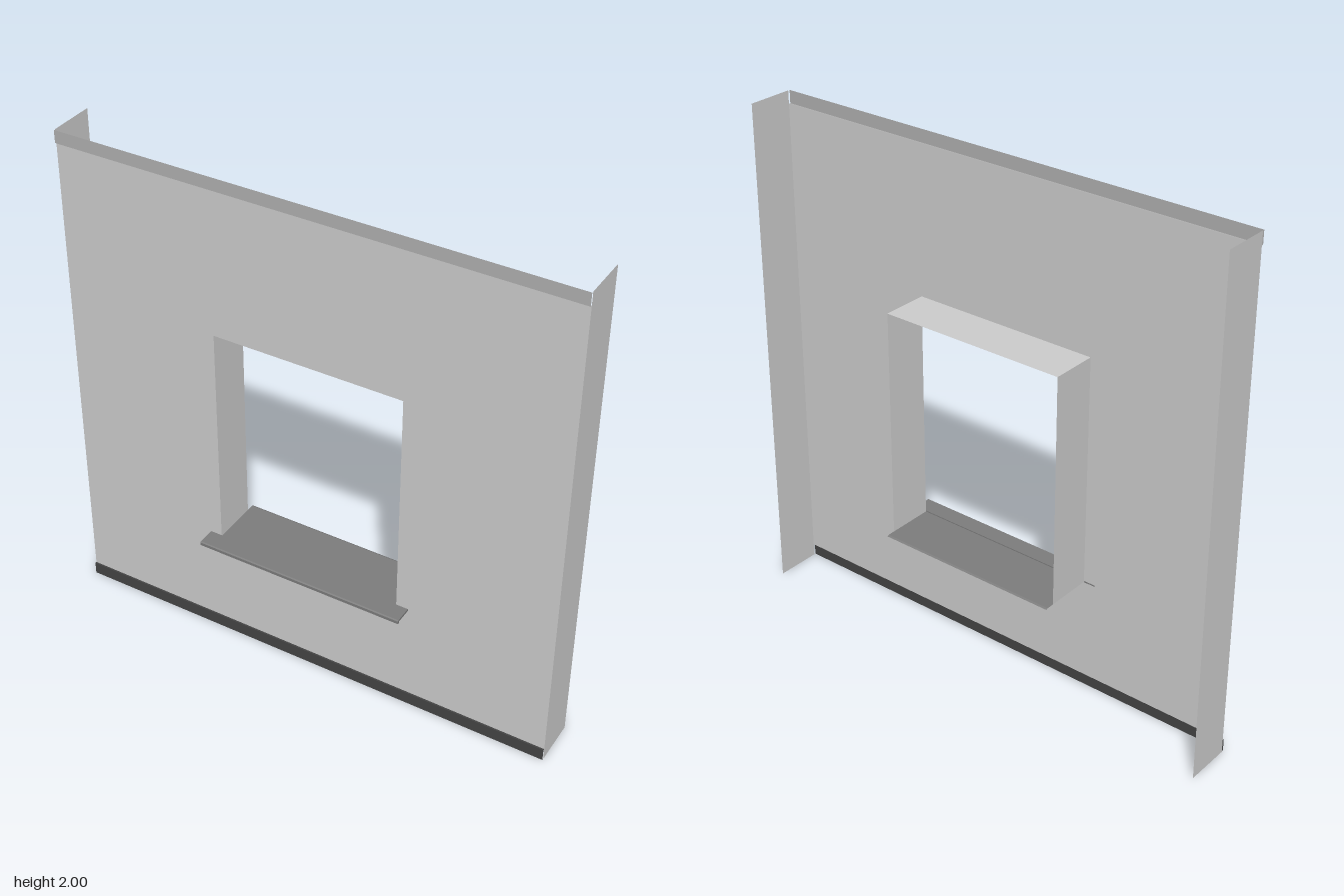
import * as THREE from 'three';

const FRONT = 0.073, BACK = -0.11, EDGE = 0.08; // depths of wall face, flange backs, edge bands
const HALF = 0.377, SILL = 0.457, HEAD = 1.367; // window opening
const BAND = 0.05;

const material = (color = 0xcccccc) =>
  new THREE.MeshStandardMaterial({ color, side: THREE.DoubleSide, flatShading: true });
const grey = material();
const darkTrim = material(0x444444);
const sillMetal = material(0x7c7c7c);
const topTrim = material(0xafafaf);

function add(group, name, geometry, mat = grey) {
  const mesh = new THREE.Mesh(geometry, mat);
  mesh.name = name;
  group.add(mesh);
  return mesh;
}

// Thin sheet: a (z, y) profile drawn out along x
function foldedSheet(profile, halfWidth) {
  const pos = [];
  for (let i = 0; i < profile.length - 1; i++) {
    const [z0, y0] = profile[i], [z1, y1] = profile[i + 1], w = halfWidth;
    pos.push(-w, y0, z0, w, y0, z0, w, y1, z1, -w, y0, z0, w, y1, z1, -w, y1, z1);
  }
  const g = new THREE.BufferGeometry();
  g.setAttribute('position', new THREE.Float32BufferAttribute(pos, 3));
  g.computeVertexNormals();
  return g;
}

// Upright sheet across z at a given x
function sideSheet(x, y0, y1) {
  const g = new THREE.PlaneGeometry(FRONT - BACK, y1 - y0);
  g.rotateY(Math.sign(x) * Math.PI / 2);
  g.translate(x, (y0 + y1) / 2, (FRONT + BACK) / 2);
  return g;
}

function rectangle(path, x, y0, y1) {
  return path.moveTo(-x, y0).lineTo(x, y0).lineTo(x, y1).lineTo(-x, y1).closePath();
}

export function createModel() {
  const group = new THREE.Group();
  group.name = 'wallPanelWithWindowOpening';

  // Wall face with the opening cut out
  const wall = rectangle(new THREE.Shape(), 1, BAND, 2 - BAND);
  wall.holes.push(rectangle(new THREE.Path(), HALF, SILL, HEAD));
  add(group, 'wallFace', new THREE.ShapeGeometry(wall).translate(0, 0, FRONT));

  // Edge bands stepped slightly forward of the wall
  add(group, 'topBand', foldedSheet([[FRONT, 2 - BAND], [EDGE, 2 - BAND], [EDGE, 2]], 1), topTrim);
  add(group, 'bottomBand', foldedSheet([[EDGE, 0], [EDGE, BAND], [FRONT, BAND]], 1), darkTrim);

  // Side flanges and window jambs
  for (const [side, label] of [[1, 'left'], [-1, 'right']]) {
    add(group, label + 'Flange', sideSheet(side, 0, 2));
    add(group, label + 'Jamb', sideSheet(side * HALF, SILL, HEAD));
  }

  // Lining over the opening
  add(group, 'headLining', foldedSheet([[FRONT, HEAD], [BACK, HEAD]], HALF));

  // Sill sheet, running past the jambs at the back
  add(group, 'sillSheet', foldedSheet([[FRONT, SILL], [BACK, SILL], [-0.14, SILL], [-0.147, SILL - 0.004]], HALF), sillMetal);

  // Projecting sill nose with a turned-down lip
  const nose = new THREE.Shape([
    [FRONT, 0.461], [0.142, 0.461], [0.146, 0.457], [0.146, 0.445],
    [0.138, 0.445], [0.138, 0.452], [FRONT, 0.452],
  ].map(([z, y]) => new THREE.Vector2(-z, y)));
  const noseGeometry = new THREE.ExtrudeGeometry(nose, { depth: 0.85, bevelEnabled: false });
  noseGeometry.translate(0, 0, -0.425).rotateY(Math.PI / 2);
  add(group, 'sillNose', noseGeometry, sillMetal);

  return group;
}
